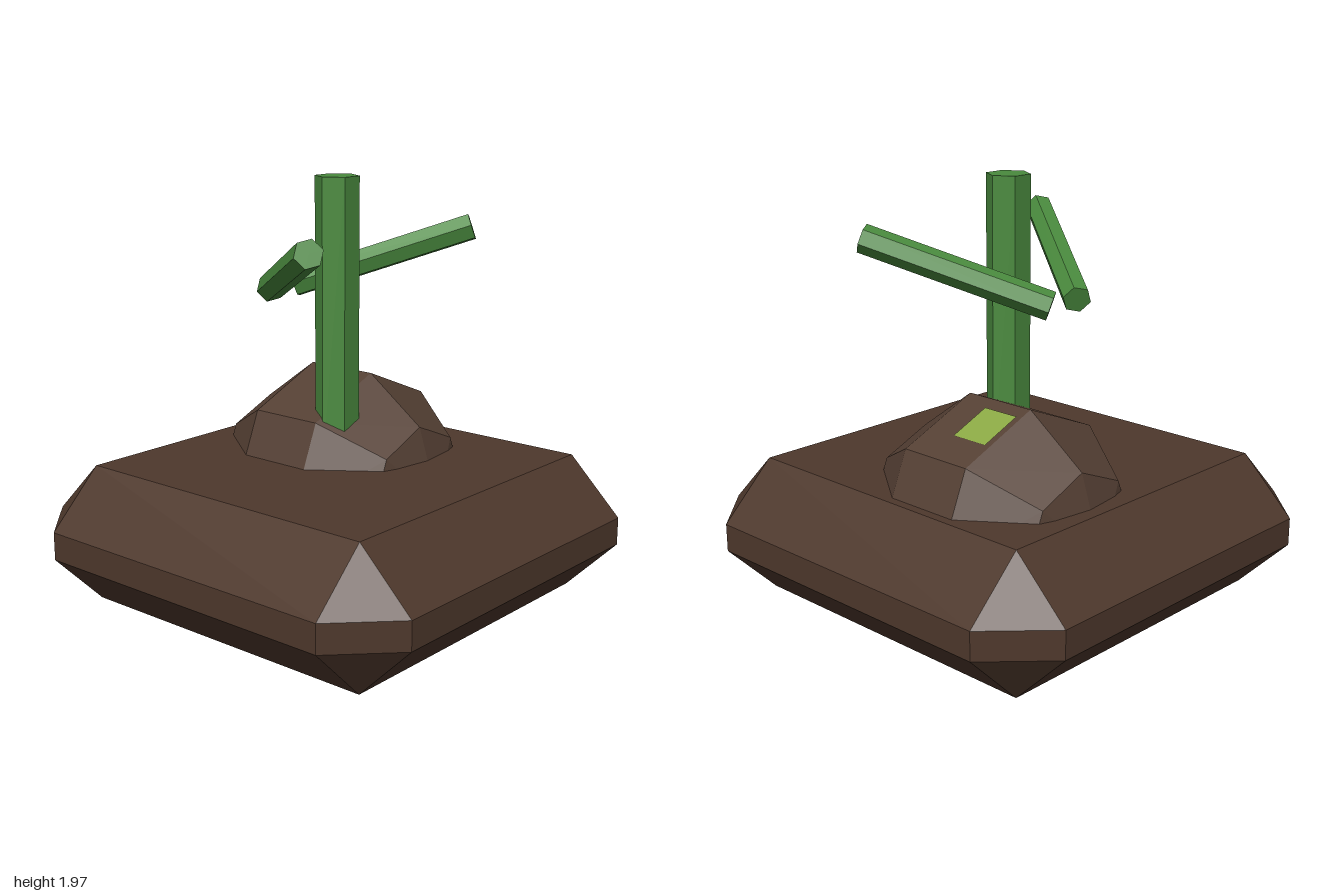
import * as THREE from 'three';
import { ConvexGeometry } from 'three/addons/geometries/ConvexGeometry.js';

const flat = (color) => new THREE.MeshStandardMaterial({ color, flatShading: true });
const soil = flat(0x4e382c), stone = flat(0x554034), stalk = flat(0x4a8a3e);
const leaf = new THREE.MeshStandardMaterial({ color: 0x8aa844, side: THREE.DoubleSide });

export function createModel() {
  const model = new THREE.Group();
  model.name = 'plantedMound';

  const add = (name, geometry, material, x, y, z) => {
    const mesh = new THREE.Mesh(geometry, material);
    mesh.name = name;
    mesh.position.set(x, y, z);
    model.add(mesh);
    return mesh;
  };

  // Six-sided rod with corners on the x axis
  const rod = (radius, length) => new THREE.CylinderGeometry(radius, radius, length, 6, 1, false, Math.PI / 6);

  // Wide slab of soil with every edge chamfered
  const corners = [];
  for (const sx of [-1, 1]) for (const sz of [-1, 1]) {
    for (const y of [0.1, 0.72]) corners.push(new THREE.Vector3(0.75 * sx, y, 0.75 * sz));
    for (const y of [0.35, 0.475]) {
      corners.push(new THREE.Vector3(sx, y, 0.75 * sz), new THREE.Vector3(0.75 * sx, y, sz));
    }
  }
  add('soilSlab', new ConvexGeometry(corners), soil, 0, 0, 0);

  // Coarse boulder sunk through the slab, its poles along z
  const boulder = new THREE.SphereGeometry(0.5625, 8, 5).rotateX(Math.PI / 2);
  add('boulder', boulder, stone, 0.25, 0.535, -0.1875);

  // Moss patch lying on the boulder's upper left facet
  const moss = new THREE.PlaneGeometry(0.2, 0.178).rotateX(-Math.PI / 2).rotateZ(-Math.PI / 8);
  add('mossPatch', moss, leaf, 0.403, 1.011, -0.25);

  // Upright stem, rooted inside the boulder
  add('stem', rod(0.097, 1.25), stalk, 0, 1.35, 0);

  // Mirrored branches rising forwards and outwards
  for (const side of [-1, 1]) {
    const branch = add(side > 0 ? 'leftBranch' : 'rightBranch', rod(0.0625, 0.83), stalk, 0.3125 * side, 1.6, 0);
    branch.rotation.set(Math.PI * 3 / 8, 0, -side * Math.PI * 3 / 16);
  }

  return model;
}
